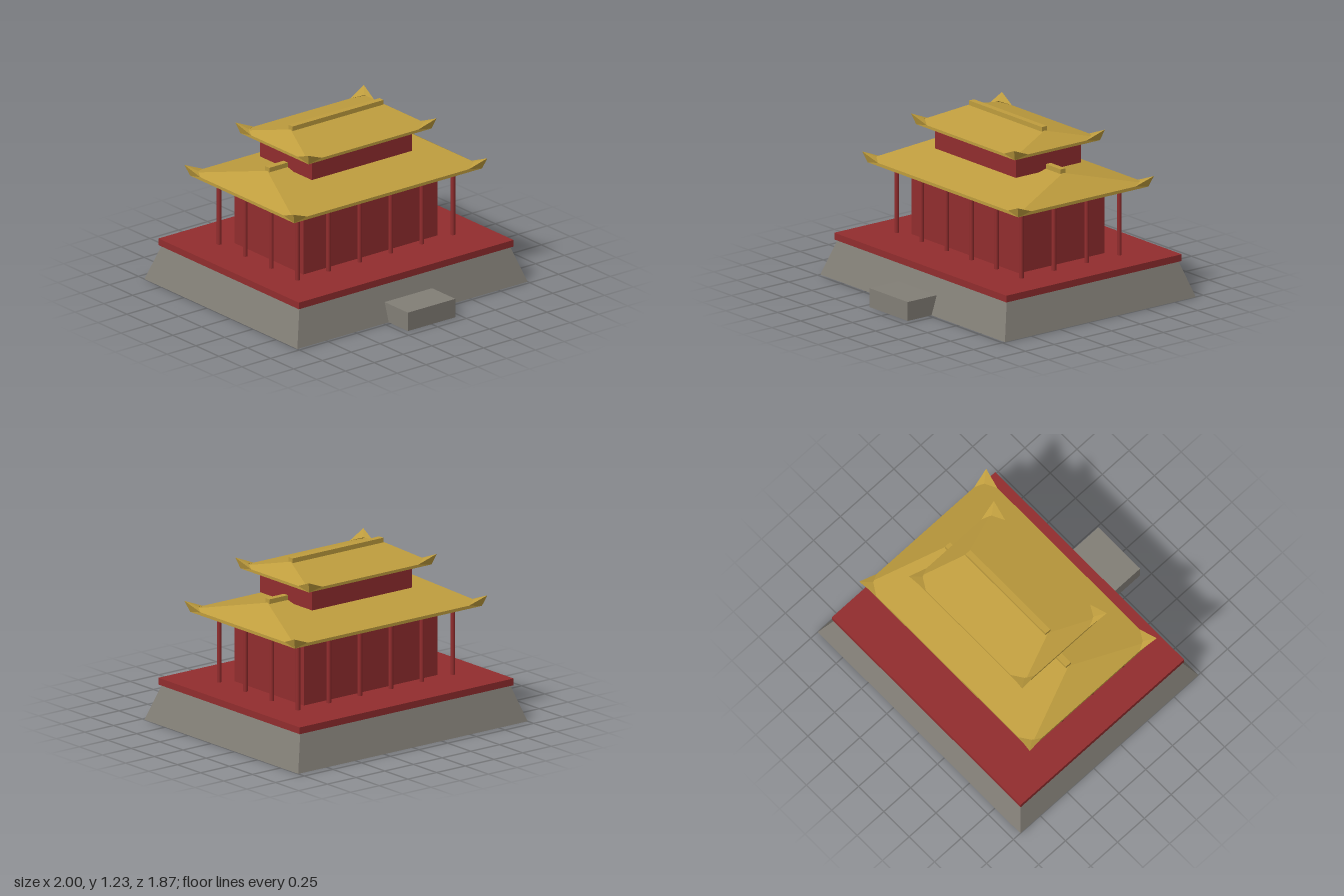
import * as THREE from 'three';

const stone = new THREE.MeshStandardMaterial({ name: 'stone', color: 0x827e76 });
const red = new THREE.MeshStandardMaterial({ name: 'redLacquer', color: 0x922d2e });
const gold = new THREE.MeshStandardMaterial({ name: 'goldTile', color: 0xbf9d3e });

function addMesh(parent, name, geometry, material) {
  const mesh = new THREE.Mesh(geometry, material);
  mesh.name = name;
  parent.add(mesh);
  return mesh;
}

// Box given by its half width, bottom, top and half depth
function addBox(parent, name, material, hx, y0, y1, hz) {
  const mesh = addMesh(parent, name, new THREE.BoxGeometry(hx * 2, y1 - y0, hz * 2), material);
  mesh.position.y = (y0 + y1) / 2;
  return mesh;
}

// Convex solid from polygons; each face is turned to point away from the centre
function solid(points, faces) {
  const v = points.map((p) => new THREE.Vector3(...p));
  const centre = v.reduce((s, p) => s.add(p), new THREE.Vector3()).divideScalar(v.length);
  const out = [];
  for (const face of faces) {
    for (let i = 1; i < face.length - 1; i++) {
      const a = v[face[0]], b = v[face[i]], c = v[face[i + 1]];
      const n = b.clone().sub(a).cross(c.clone().sub(a));
      const outward = n.dot(a.clone().sub(centre)) > 0;
      for (const p of outward ? [a, b, c] : [a, c, b]) out.push(p.x, p.y, p.z);
    }
  }
  const g = new THREE.BufferGeometry();
  g.setAttribute('position', new THREE.Float32BufferAttribute(out, 3));
  g.computeVertexNormals();
  return g;
}

const rect = (hx, y, hz) => [[-hx, y, hz], [hx, y, hz], [hx, y, -hz], [-hx, y, -hz]];
const bandFaces = [[0, 1, 5, 4], [1, 2, 6, 5], [2, 3, 7, 6], [3, 0, 4, 7]];

// Hipped roof with eave band, ridge beam and upturned corners
function makeRoof(name, r) {
  const roof = new THREE.Group();
  roof.name = name;
  addMesh(roof, 'hippedTiles', solid(
    [...rect(r.hx, r.y0, r.hz), ...rect(r.hx, r.y1, r.hz), [-r.ridgeX, r.ridgeY, 0], [r.ridgeX, r.ridgeY, 0]],
    [[0, 1, 2, 3], ...bandFaces, [4, 5, 9, 8], [5, 6, 9], [6, 7, 8, 9], [7, 4, 8]],
  ), gold);
  addBox(roof, 'ridgeBeam', gold, r.ridgeX, r.ridgeY - 0.015, r.ridgeY + 0.028, 0.022);

  for (const sx of [-1, 1]) for (const sz of [-1, 1]) {
    const at = (x, y, z) => [sx * x, y, sz * z];
    addMesh(roof, 'upturnedCorner', solid([
      at(r.hx, r.y0, r.hz),
      at(r.hx - r.horn, r.y1, r.hz),
      at(r.hx, r.y1, r.hz - r.horn),
      at(r.hx - 0.032, r.y1 + 0.018, r.hz - 0.048),
      at(r.tipX, r.tipY, r.tipZ),
    ], [[0, 1, 4], [0, 2, 4], [1, 3, 4], [2, 3, 4], [0, 1, 3, 2]]), gold);
  }
  return roof;
}

export function createModel() {
  const model = new THREE.Group();
  model.name = 'pavilion';
  const building = new THREE.Group();
  building.name = 'building';
  building.position.z = -0.104;
  model.add(building);

  // Sloped stone base and terrace
  addMesh(building, 'stoneBase', solid(
    [...rect(1, 0, 0.831), ...rect(0.915, 0.252, 0.747)],
    [[0, 1, 2, 3], [4, 5, 6, 7], ...bandFaces],
  ), stone);
  addBox(building, 'terrace', red, 0.932, 0.252, 0.3, 0.763);

  // Entrance step
  addBox(model, 'entranceStep', stone, 0.206, 0, 0.134, 0.16).position.z = 0.775;

  // Lower hall and the colonnade around it
  addBox(building, 'hall', red, 0.582, 0.3, 0.75, 0.373);
  const column = new THREE.CylinderGeometry(0.016, 0.016, 0.48, 12);
  for (let i = 0; i < 6; i++) for (let j = 0; j < 4; j++) {
    if (i > 0 && i < 5 && j > 0 && j < 3) continue;
    addMesh(building, 'column', column, red)
      .position.set(-0.675 + i * 0.27, 0.54, -0.426 + j * 0.284);
  }
  addBox(building, 'ceilingBeam', red, 0.708, 0.777, 0.792, 0.457);

  // Lower roof
  building.add(makeRoof('lowerRoof', {
    hx: 0.815, hz: 0.566, y0: 0.79, y1: 0.812, ridgeX: 0.597, ridgeY: 0.945,
    horn: 0.112, tipX: 0.842, tipY: 0.866, tipZ: 0.593,
  }));

  // Upper storey and roof
  addBox(building, 'upperHall', red, 0.436, 0.925, 1.092, 0.283);
  building.add(makeRoof('upperRoof', {
    hx: 0.534, hz: 0.37, y0: 1.09, y1: 1.11, ridgeX: 0.395, ridgeY: 1.197,
    horn: 0.115, tipX: 0.558, tipY: 1.166, tipZ: 0.396,
  }));

  return model;
}
